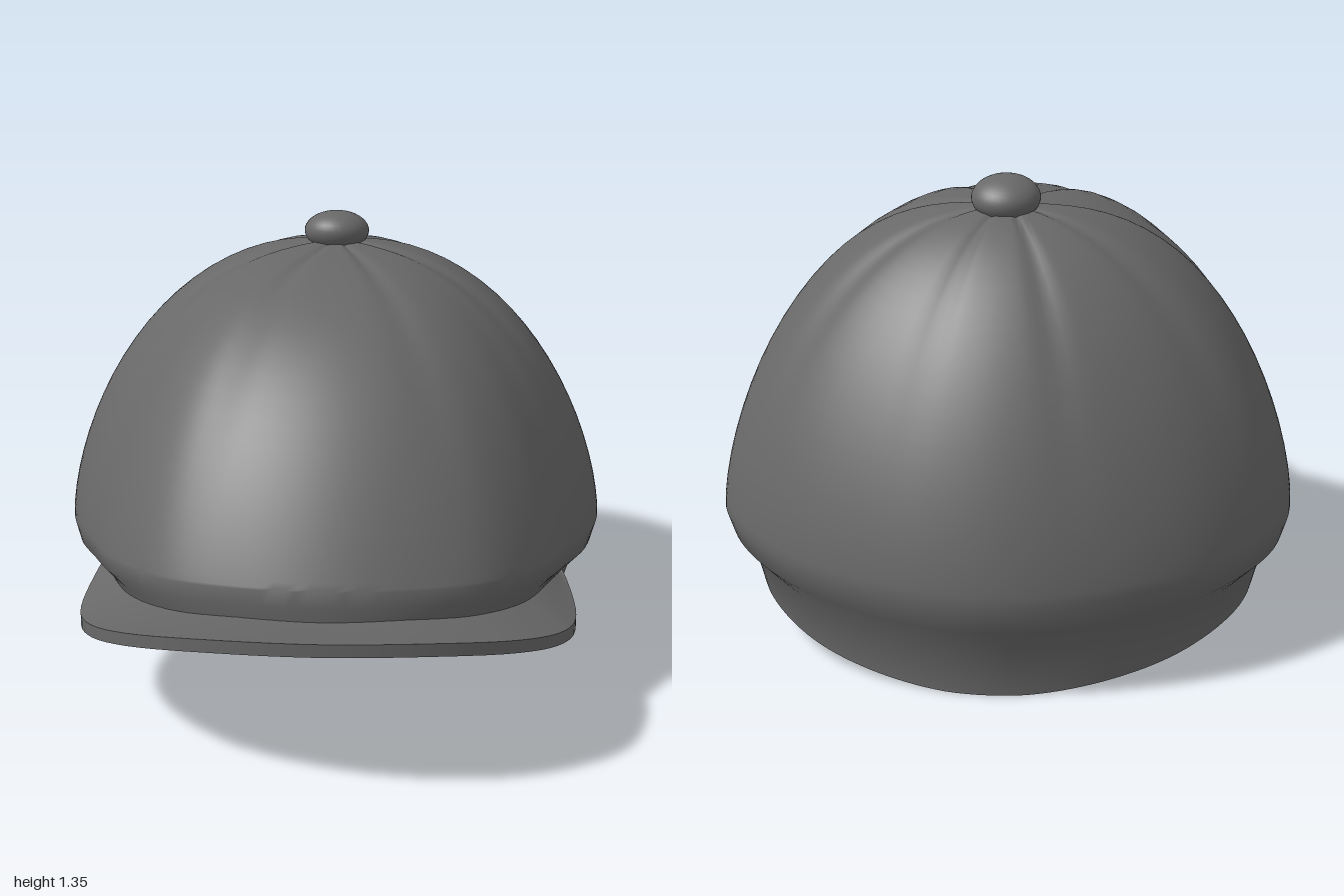
import * as THREE from 'three';
import { toCreasedNormals } from 'three/addons/utils/BufferGeometryUtils.js';

const V = (x, y, z) => new THREE.Vector3(x, y, z);
const { lerp, clamp } = THREE.MathUtils;

// Skin a list of rows (equal-length arrays of points) into one surface.
function skin(rows, crease) {
  const n = rows[0].length, index = [];
  for (let i = 0; i < rows.length - 1; i++) {
    for (let j = 0; j < n - 1; j++) {
      const a = i * n + j, b = a + 1, c = b + n, d = a + n;
      index.push(a, b, c, a, c, d);
    }
  }
  const geo = new THREE.BufferGeometry().setFromPoints(rows.flat());
  geo.setIndex(index);
  return toCreasedNormals(geo, crease);
}

// Piecewise linear lookup through [key, value] pairs.
function lookup(table, k) {
  for (let i = 1; i < table.length; i++) {
    const [k0, v0] = table[i - 1], [k1, v1] = table[i];
    if (k <= k1) return lerp(v0, v1, clamp((k - k0) / (k1 - k0), 0, 1));
  }
  return table[table.length - 1][1];
}

// Mirror a half curve (starting at the middle) into a left-to-right one.
const mirrored = (half) => [
  ...half.slice(1).reverse().map(([x, y, z]) => V(-x, y, z)),
  ...half.map(([x, y, z]) => V(x, y, z)),
];

const APEX = V(0, 1.26, -0.33);
const COLUMNS = 160, RINGS = 22;

// Widest outline of the crown, from front centre round to back centre.
const HALF = [[0, 0.775], [0.24, 0.74], [0.46, 0.64], [0.64, 0.42], [0.73, 0.2], [0.8, 0],
  [0.84, -0.3], [0.8, -0.52], [0.6, -0.77], [0.3, -0.94], [0, -1]];

// Lower edge of the band by depth, with the step cut behind the peak.
const BAND_EDGE = [[-0.92, 0], [-0.22, 0.165], [-0.19, 0.19], [-0.14, 0.29], [-0.1, 0.315],
  [0.05, 0.32], [0.3, 0.315], [0.55, 0.365], [0.8, 0.45]];

// Domed crown point: r runs from 0 at the top to 1 at the widest outline.
function crownPoint(rim, r) {
  const angle = Math.atan2(rim.x, rim.z - APEX.z), c = Math.cos(angle);
  const p = c > 0 ? lerp(2.35, 3.05, c) : lerp(2.35, 2, -c);
  const q = c > 0 ? lerp(0.64, 1, c * c) : lerp(0.64, 0.68, -c);
  const h = Math.pow(Math.max(0, 1 - Math.pow(r, p)), q);
  // Eight stitched panels: shallow grooves fading out at the top and hem.
  const groove = Math.pow(Math.abs(Math.sin(angle * 4)), 14) * Math.sin(Math.PI * Math.pow(r, 0.6));
  const k = r * (1 - 0.014 * groove);
  return V(rim.x * k, lerp(rim.y, APEX.y, h) - 0.008 * groove, lerp(APEX.z, rim.z, k));
}

function crownGeometry() {
  const outline = [...HALF, ...HALF.slice(1, -1).reverse().map(([x, z]) => [-x, z])];
  const curve = new THREE.CatmullRomCurve3(
    outline.map(([x, z]) => V(x, 0.3 + 0.163 * (z + 1) - 0.04 * (1 - z * z), z)), true, 'centripetal');
  const rim = curve.getSpacedPoints(COLUMNS);
  // Tucked seam between crown and band.
  const seam = rim.map((p) => {
    const z = p.z + 0.07 * (0.775 - p.z) / 1.775;
    return V(p.x * 0.92, 0.14 + 0.2 * (z + 0.93), z);
  });
  const edge = seam.map((p) =>
    V(p.x * 0.955, Math.min(lookup(BAND_EDGE, p.z), p.y - 0.015), p.z * 0.993));
  // Soft roll of cloth above the seam, fullest at the back.
  const tuck = rim.map((p, i) => {
    const m = p.clone().lerp(seam[i], 0.5);
    return V(m.x * 1.02, m.y - 0.005, m.z * (m.z < 0 ? 1.02 : 1));
  });
  const inset = (row, k) => row.map((p) => V(p.x * k, p.y, -0.1 + (p.z + 0.1) * k));
  const dome = [];
  for (let i = 0; i <= RINGS; i++) {
    const r = Math.sin(Math.PI / 2 * lerp(1, 0.002, i / RINGS));
    dome.push(rim.map((p) => crownPoint(p, r)));
  }
  // Lining: the same dome, slightly smaller.
  const lining = dome.map((row) => inset(row, 0.945).map((p) =>
    V(p.x, p.y - 0.04 * clamp((p.y - 0.4) * 2, 0, 1), p.z)));
  return skin([...lining.reverse(), inset(seam, 0.945), inset(edge, 0.945),
    edge, seam, tuck, ...dome], 0.95);
}

function peakGeometry() {
  const outer = mirrored([[0, 0.525, 0.995], [0.3, 0.508, 0.945], [0.55, 0.45, 0.8], [0.69, 0.37, 0.58],
    [0.74, 0.315, 0.36], [0.725, 0.32, 0.14], [0.7, 0.345, 0.05]]);
  const inner = mirrored([[0, 0.475, 0.74], [0.23, 0.47, 0.7], [0.42, 0.44, 0.6], [0.57, 0.39, 0.42],
    [0.64, 0.365, 0.25], [0.68, 0.35, 0.1], [0.69, 0.345, 0.05]]);
  const sample = (pts) => new THREE.CatmullRomCurve3(pts, false, 'centripetal').getPoints(60);
  const down = (row) => row.map((p) => V(p.x, p.y - 0.04, p.z));
  const a = sample(inner), b = sample(outer);
  // Gentle dip across the width of the peak.
  const mid = a.map((p, i) => p.clone().lerp(b[i], 0.5).add(V(0, -0.006, 0)));
  return skin([down(a), down(mid), down(b), b, mid, a, down(a)], 0.6);
}

export function createModel() {
  const cap = new THREE.Group();
  cap.name = 'cap';
  const cloth = new THREE.MeshStandardMaterial({ color: 0x686868, side: THREE.DoubleSide });
  const add = (name, geometry) => {
    const mesh = new THREE.Mesh(geometry, cloth);
    mesh.name = name;
    cap.add(mesh);
    return mesh;
  };

  add('crownAndBand', crownGeometry());
  add('peak', peakGeometry());

  // Covered button on top
  const button = add('topButton', new THREE.SphereGeometry(0.1, 32, 20));
  button.scale.set(1, 0.62, 0.95);
  button.position.set(0, 1.283, -0.34);
  button.rotation.x = -0.22;

  return cap;
}
